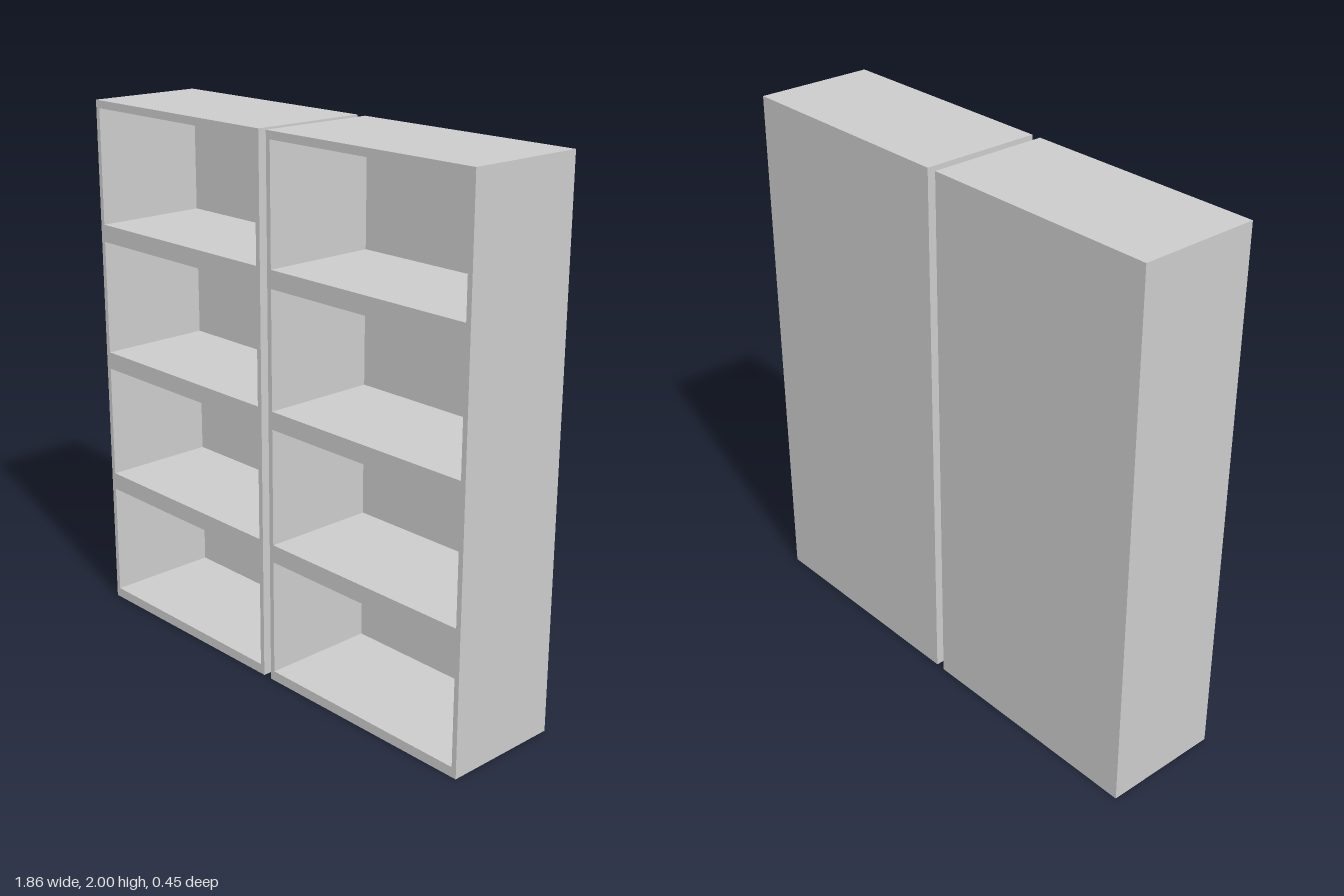
import * as THREE from 'three';

const INNER = 0.0185, OUTER = 0.93; // x range of one bookcase
const HEIGHT = 2, DEPTH = 0.45, BACK = 0.008;
const WALL = 0.019; // side board thickness
const SHELVES = 4, PITCH = 0.5, FIRST = 0.037, OPENING = 0.434;

function rectangle(target, x0, y0, x1, y1) {
  target.moveTo(x0, y0);
  target.lineTo(x1, y0);
  target.lineTo(x1, y1);
  target.lineTo(x0, y1);
  target.closePath();
  return target;
}

function createBookcase(name) {
  const material = new THREE.MeshStandardMaterial({ color: 0xcccccc });
  const bookcase = new THREE.Group();
  bookcase.name = name;
  const half = (OUTER - INNER) / 2;

  // Carcass: sides, top, bottom and shelves around four open compartments
  const outline = rectangle(new THREE.Shape(), -half, 0, half, HEIGHT);
  for (let i = 0; i < SHELVES; i++) {
    const y = FIRST + i * PITCH;
    outline.holes.push(rectangle(new THREE.Path(), -half + WALL, y, half - WALL, y + OPENING));
  }
  const carcass = new THREE.Mesh(
    new THREE.ExtrudeGeometry(outline, { depth: DEPTH - BACK, bevelEnabled: false }), material);
  carcass.name = 'carcass';
  carcass.position.z = -DEPTH / 2 + BACK;

  // Thin panel closing the back
  const back = new THREE.Mesh(new THREE.BoxGeometry(half * 2, HEIGHT, BACK), material);
  back.name = 'backPanel';
  back.position.set(0, HEIGHT / 2, -DEPTH / 2 + BACK / 2);

  bookcase.add(carcass, back);
  return bookcase;
}

export function createModel() {
  const model = new THREE.Group();
  model.name = 'bookcases';
  // Two matching bookcases with a narrow gap between them
  for (const [name, side] of [['leftBookcase', 1], ['rightBookcase', -1]]) {
    const bookcase = createBookcase(name);
    bookcase.position.x = side * (INNER + OUTER) / 2;
    model.add(bookcase);
  }
  return model;
}
